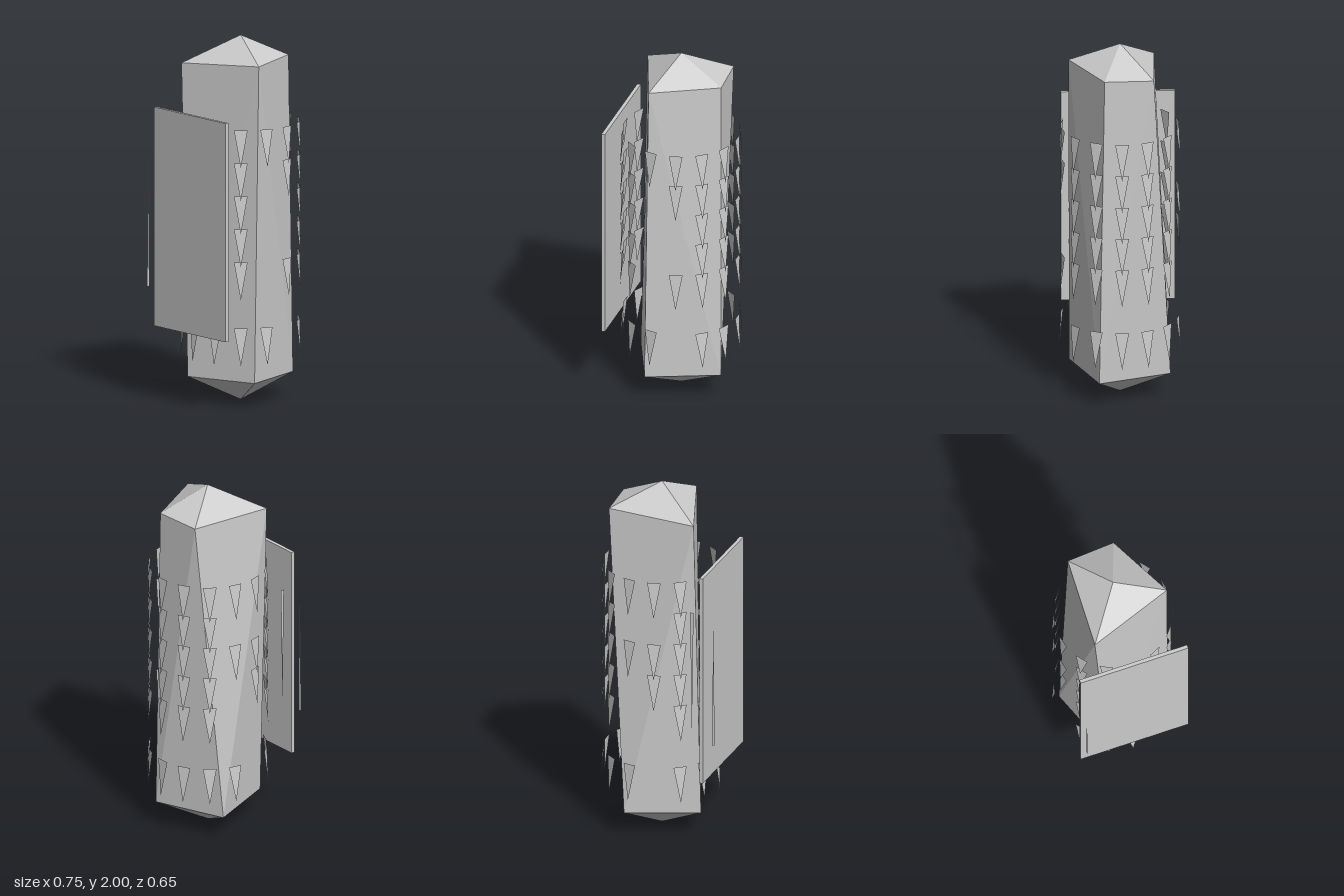
import * as THREE from 'three';
import { ConvexGeometry } from 'three/addons/geometries/ConvexGeometry.js';

const solid = new THREE.MeshStandardMaterial({ color: 0xcccccc, flatShading: true });
const thin = new THREE.MeshStandardMaterial({ color: 0xcccccc, flatShading: true, side: THREE.DoubleSide });
const AXIS_X = 0.04;

function add(parent, name, geometry, material) {
  const mesh = new THREE.Mesh(geometry, material);
  mesh.name = name;
  parent.add(mesh);
  return mesh;
}

function triangle(...corners) {
  const g = new THREE.BufferGeometry().setFromPoints(corners.map(c => new THREE.Vector3(...c)));
  g.computeVertexNormals();
  return g;
}

export function createModel() {
  const model = new THREE.Group();
  model.name = 'pillar';

  // Four-sided column, pointed at both ends and slightly twisted
  const columnPoints = [
    [AXIS_X, 2, 0], [AXIS_X, 0, 0],
    [-0.055, 1.875, 0.275], [0.297, 1.875, 0.092], [0.28, 1.872, -0.175], [-0.215, 1.848, -0.192],
    [-0.08, 0.14, 0.27], [0.305, 0.14, 0.12], [0.158, 0.14, -0.268], [-0.23, 0.14, -0.12],
  ].map(p => new THREE.Vector3(...p));
  add(model, 'column', new ConvexGeometry(columnPoints), solid);

  // Flat wedges hanging in 14 files around the column, tips leaning outwards
  const wedges = new THREE.Group();
  wedges.name = 'wedges';
  wedges.position.x = AXIS_X;
  model.add(wedges);
  const wedgeShape = triangle([0.318, 0, 0.037], [0.318, 0, -0.037], [0.333, -0.205, 0]);
  const fullFile = [0, 1, 2, 3, 4, 6];
  const sparseFiles = { 3: [0, 1, 4], 4: [0, 6], 10: [0, 2, 3], 11: [0, 2, 6] };
  for (let file = 0; file < 14; file++) {
    for (const row of sparseFiles[file] ?? fullFile) {
      const wedge = add(wedges, 'wedge', wedgeShape, thin);
      wedge.position.y = 1.535 - row * 0.181;
      wedge.rotation.y = -file * Math.PI * 2 / 14;
    }
  }

  // Upright side panel
  add(model, 'sidePanel', new THREE.BoxGeometry(0.02, 1.2, 0.615), solid).position.set(-0.302, 1, 0);

  // Two narrow slivers beside the panel's back edge
  add(model, 'outerSliver', triangle([-0.374, 0.625, -0.29], [-0.358, 0.625, -0.29], [-0.366, 1.335, -0.29]), thin);
  add(model, 'innerSliver', triangle([-0.252, 1.385, -0.29], [-0.242, 0.675, -0.29], [-0.232, 1.385, -0.29]), thin);

  return model;
}
